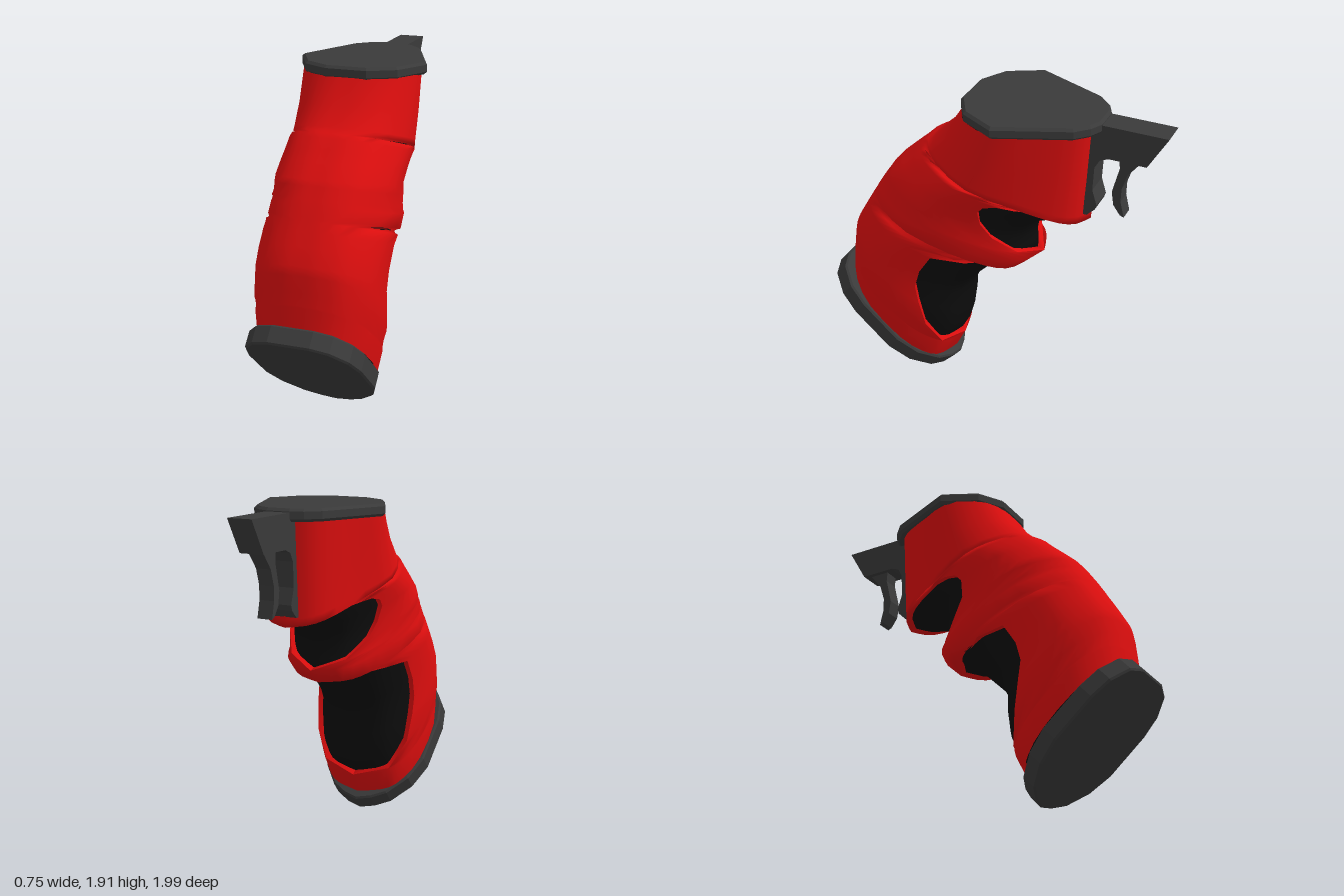
import * as THREE from 'three';
import { mergeVertices } from 'three/addons/utils/BufferGeometryUtils.js';

const red = new THREE.MeshStandardMaterial({ color: 0xdc0e0e, side: THREE.DoubleSide });
red.name = 'red shell';
const black = new THREE.MeshStandardMaterial({ color: 0x0d0d0d, side: THREE.DoubleSide });
black.name = 'black rubber';
const grey = new THREE.MeshStandardMaterial({ color: 0x3a3a3a });
grey.name = 'dark grey';

// Grip sections from bottom to top: back z, back y, front z, front y,
// and how far toward the front the shell reaches (1 = closed)
const ROWS = [
  [0.88, 0.66, 0.27, 0.12, 1], [0.87, 0.78, 0.21, 0.24, 1],
  [0.868, 0.79, 0.2, 0.25, 0.91], [0.86, 0.86, 0.15, 0.34, 0.76],
  [0.85, 0.95, 0.13, 0.48, 0.69], [0.84, 1.0, 0.13, 0.6, 0.66],
  [0.79, 1.09, 0.08, 0.7, 0.63], [0.75, 1.16, -0.06, 0.84, 0.6],
  [0.72, 1.21, -0.14, 0.88, 0.756], [0.71, 1.23, -0.21, 0.9, 1],
  [0.68, 1.28, -0.3, 0.985, 1], [0.66, 1.31, -0.28, 1.03, 0.925],
  [0.62, 1.37, -0.29, 1.1, 0.78], [0.6, 1.4, -0.3, 1.18, 0.7],
  [0.52, 1.475, -0.4, 1.24, 0.59], [0.46, 1.53, -0.47, 1.26, 0.56],
  [0.41, 1.58, -0.52, 1.265, 0.59], [0.38, 1.6, -0.56, 1.27, 0.65],
  [0.36, 1.61, -0.57, 1.275, 1], [0.34, 1.625, -0.573, 1.32, 1],
  [0.24, 1.72, -0.585, 1.55, 1], [0.15, 1.86, -0.6, 1.86, 1],
];
// Half section outlines (position back to front, relative half width)
const LOW = [[0, 0], [0.01, 0.33], [0.08, 0.7], [0.3, 1], [0.65, 1], [0.86, 0.78], [0.95, 0.5], [1, 0]];
const HIGH = [[0, 0], [0.01, 0.34], [0.1, 0.74], [0.35, 1], [0.6, 0.8], [0.84, 0.56], [0.95, 0.33], [1, 0]];
const N = 16;

const sections = ROWS.map((row, i) => {
  const k = i / (ROWS.length - 1);
  const curve = new THREE.SplineCurve(LOW.map((p, n) => new THREE.Vector2(
    THREE.MathUtils.lerp(p[0], HIGH[n][0], k), THREE.MathUtils.lerp(p[1], HIGH[n][1], k))));
  // curve parameter at which the shell stops
  let lo = 0, hi = 1;
  for (let n = 0; n < 30 && row[4] < 1; n++) {
    const mid = (lo + hi) / 2;
    if (curve.getPoint(mid).x < row[4]) lo = mid; else hi = mid;
  }
  return { row, curve, end: row[4] < 1 ? lo : 1, width: i === 0 ? 0.31 : i < 3 ? 0.33 : 0.345 };
});

function sectionPoint(sec, t, side, inset) {
  const p = sec.curve.getPoint(t), [bz, by, fz, fy] = sec.row;
  const s = 0.5 + (p.x - 0.5) * (1 - 2 * inset);
  const x = t === 0 || t === 1 ? 0 : side * p.y * sec.width * (1 - 2.5 * inset);
  return [x, by + (fy - by) * s, bz + (fz - bz) * s];
}

// Smooth surface through equal rows of points
function surface(rows) {
  const index = [], n = rows[0].length;
  for (let i = 0; i < rows.length - 1; i++) {
    for (let j = 0; j < n - 1; j++) {
      const a = i * n + j, b = a + n;
      index.push(a, a + 1, b + 1, a, b + 1, b);
    }
  }
  const geo = new THREE.BufferGeometry();
  geo.setAttribute('position', new THREE.Float32BufferAttribute(rows.flat(2), 3));
  geo.setIndex(index);
  const merged = mergeVertices(geo, 1e-4);
  merged.computeVertexNormals();
  return merged;
}

function gripSurface(inset, cut) {
  return surface(sections.map((sec) => {
    const pts = [];
    for (let j = -N; j <= N; j++) {
      pts.push(sectionPoint(sec, (Math.abs(j) / N) * (cut ? sec.end : 1), Math.sign(j), inset));
    }
    return pts;
  }));
}

// Thickness of the shell around its openings
function rim(side) {
  return surface(sections.map((sec) =>
    [0, 0.045].map((inset) => sectionPoint(sec, sec.end, side, inset))));
}

// Horizontal bevelled plate from a half outline of [x, z] points
function plate(half, depth, bevel) {
  const mirrored = half.filter((p) => p[0] > 0).map(([x, z]) => [-x, z]).reverse();
  const shape = new THREE.Shape([...half, ...mirrored].map(([x, z]) => new THREE.Vector2(x, -z)));
  const geo = new THREE.ExtrudeGeometry(shape, {
    depth: depth - 2 * bevel, bevelEnabled: true, bevelSegments: 1,
    bevelThickness: bevel, bevelSize: bevel, bevelOffset: -bevel,
  });
  return geo.translate(0, 0, bevel).rotateX(-Math.PI / 2);
}

// Side outline of [z, y] points extruded across x
function sidePart(points, width) {
  const shape = new THREE.Shape(points.map(([z, y]) => new THREE.Vector2(-z, y)));
  const geo = new THREE.ExtrudeGeometry(shape, { depth: width, bevelEnabled: false });
  return geo.translate(0, 0, -width / 2).rotateY(Math.PI / 2);
}

export function createModel() {
  const model = new THREE.Group();
  model.name = 'pistolGrip';
  const add = (name, geo, mat) => {
    const mesh = new THREE.Mesh(geo, mat);
    mesh.name = name;
    model.add(mesh);
    return mesh;
  };

  // Grip: red shell with finger openings over a black core
  add('gripShell', gripSurface(0, true), red);
  add('rightOpeningRim', rim(-1), red);
  add('leftOpeningRim', rim(1), red);
  add('gripCore', gripSurface(0.04, false), black);

  // Egg-shaped top plate
  const top = [[0.12, 0.155], [0.27, 0.07], [0.375, -0.13], [0.21, -0.53], [0.14, -0.6], [0.07, -0.635]];
  add('topPlate', plate(top, 0.07, 0.015), grey).position.y = 1.85;

  // Tilted base plate
  const base = [[0.12, 0.46], [0.22, 0.42], [0.3, 0.31], [0.33, 0.18], [0.33, -0.11],
    [0.28, -0.26], [0.18, -0.385], [0.09, -0.435], [0, -0.46]];
  const basePlate = add('basePlate', plate(base, 0.11, 0.01), grey);
  basePlate.position.set(0, 0.305, 0.655);
  basePlate.rotation.x = -0.724;

  // Bracket with the curved rest behind the trigger
  add('triggerBracket', sidePart([[-0.5, 1.9], [-1, 1.9], [-0.89, 1.71], [-0.68, 1.71], [-0.63, 1.69],
    [-0.603, 1.64], [-0.597, 1.5], [-0.625, 1.41], [-0.615, 1.38], [-0.57, 1.335], [-0.5, 1.335]], 0.145), grey);

  // Curved trigger
  add('trigger', sidePart([[-0.73, 1.73], [-0.85, 1.73], [-0.85, 1.71], [-0.78, 1.62], [-0.752, 1.53],
    [-0.75, 1.45], [-0.773, 1.355], [-0.75, 1.365], [-0.71, 1.42], [-0.698, 1.5], [-0.735, 1.65]], 0.09), grey);

  return model;
}
